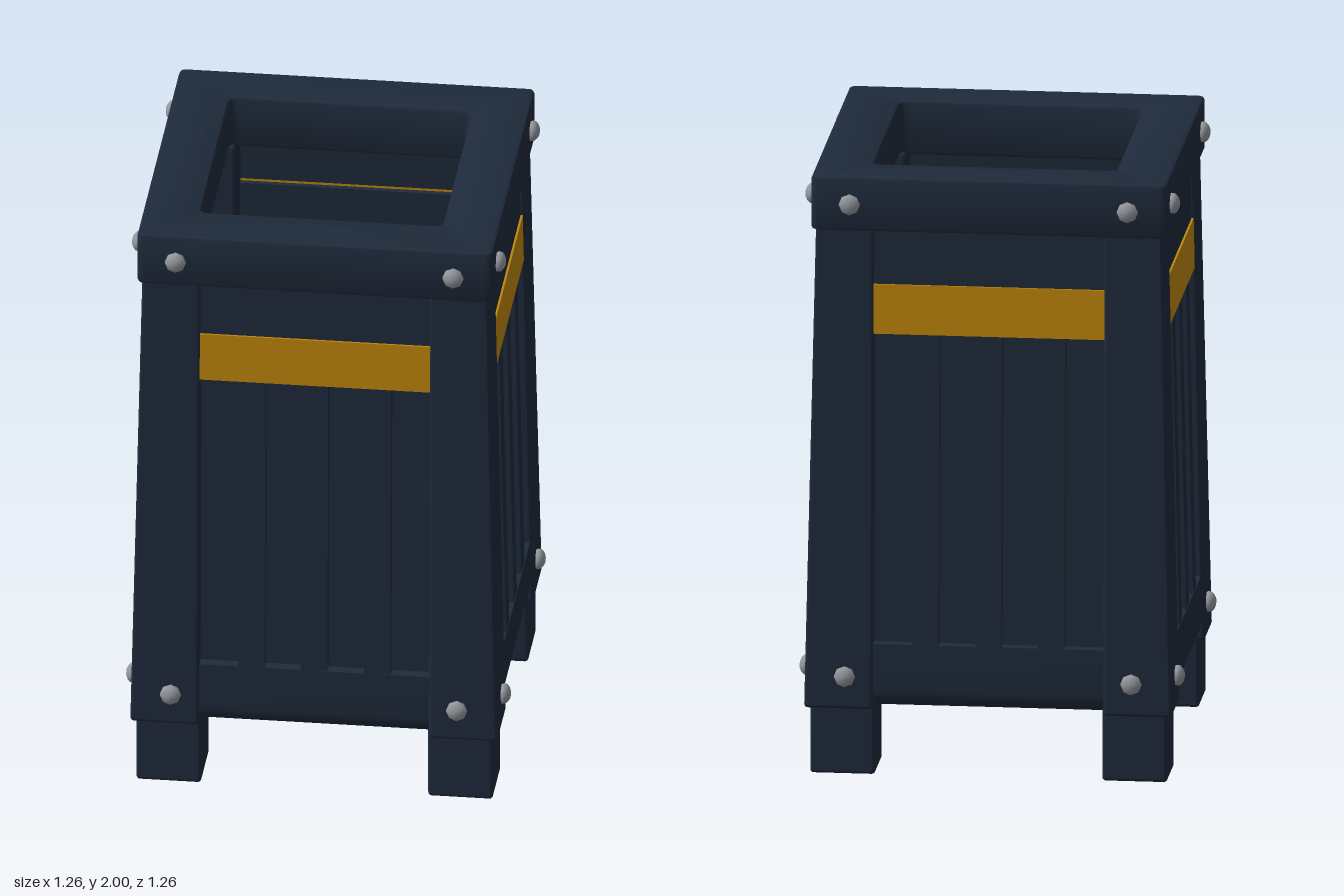
import * as THREE from 'three';
import { RoundedBoxGeometry } from 'three/addons/geometries/RoundedBoxGeometry.js';
import { toCreasedNormals } from 'three/addons/utils/BufferGeometryUtils.js';

const BOTTOM = 0.222, RIM = 1.82, INNER = 0.375;

// Half-width of the tapering body at height y
const halfAt = (y) => 0.6 - 0.035 * (y - BOTTOM) / (RIM - BOTTOM);

// Moves every vertex by a rule
function warp(geometry, rule) {
  const p = geometry.attributes.position;
  const v = new THREE.Vector3();
  for (let i = 0; i < p.count; i++) {
    rule(v.fromBufferAttribute(p, i));
    p.setXYZ(i, v.x, v.y, v.z);
  }
  return geometry;
}

// Board that follows the sloping wall, from depth d0 to d1 behind its face
function board(x0, x1, y0, y1, d0, d1) {
  const g = new THREE.BoxGeometry(x1 - x0, y1 - y0, d1 - d0);
  g.translate((x0 + x1) / 2, (y0 + y1) / 2, -(d0 + d1) / 2);
  warp(g, (v) => { v.z += halfAt(v.y); });
  g.computeVertexNormals();
  return g;
}

function roundedSquare(Type, h, r) {
  const s = new Type();
  s.moveTo(-h + r, -h);
  s.lineTo(h - r, -h);
  s.quadraticCurveTo(h, -h, h, -h + r);
  s.lineTo(h, h - r);
  s.quadraticCurveTo(h, h, h - r, h);
  s.lineTo(-h + r, h);
  s.quadraticCurveTo(-h, h, -h, h - r);
  s.lineTo(-h, -h + r);
  s.quadraticCurveTo(-h, -h, -h + r, -h);
  return s;
}

// Square top frame with a rounded opening
function rimGeometry() {
  const s = roundedSquare(THREE.Shape, 0.58, 0.025);
  s.holes.push(roundedSquare(THREE.Path, 0.395, 0.03));
  const b = 0.012;
  const g = new THREE.ExtrudeGeometry(s, {
    depth: 2 - RIM - 2 * b, bevelThickness: b, bevelSize: b, bevelOffset: -b,
    bevelSegments: 2, curveSegments: 4,
  });
  g.rotateX(-Math.PI / 2).translate(0, RIM + b, 0);
  return toCreasedNormals(g, 0.6);
}

// Thick bottom rail with a rounded lower edge
function railGeometry() {
  const s = new THREE.Shape();
  s.moveTo(INNER, 0.3);
  s.lineTo(INNER, BOTTOM + 0.008);
  s.lineTo(0.52, BOTTOM + 0.004);
  s.quadraticCurveTo(0.588, BOTTOM + 0.004, 0.588, 0.29);
  s.lineTo(halfAt(0.44) - 0.008, 0.44);
  s.lineTo(0.52, 0.44);
  s.lineTo(0.52, 0.3);
  const g = new THREE.ExtrudeGeometry(s, { depth: 0.76, bevelEnabled: false, curveSegments: 8 });
  g.rotateY(-Math.PI / 2).translate(0.38, 0, 0);
  return toCreasedNormals(g, 0.6);
}

// Corner post whose outer faces lean inwards
function postGeometry() {
  const w = 0.6 - INNER, h = RIM + 0.01 - BOTTOM;
  const g = new RoundedBoxGeometry(w, h, w, 2, 0.012);
  g.translate(INNER + w / 2, BOTTOM + h / 2, INNER + w / 2);
  return warp(g, (v) => {
    const lean = halfAt(v.y) - 0.6;
    v.x += lean * (v.x - INNER) / w;
    v.z += lean * (v.z - INNER) / w;
  });
}

// Domed bolt head facing +z
function boltGeometry() {
  const profile = [[0.03, -0.01], [0.035, 0.006], [0.033, 0.016], [0.024, 0.024], [0.012, 0.029], [0, 0.03]];
  return new THREE.LatheGeometry(profile.map(([x, y]) => new THREE.Vector2(x, y)), 8).rotateX(Math.PI / 2);
}

export function createModel() {
  const navy = new THREE.MeshStandardMaterial({ color: 0x1e2a3b });
  navy.name = 'navy paint';
  const amber = new THREE.MeshStandardMaterial({ color: 0xc0860c });
  amber.name = 'amber stripe';
  const steel = new THREE.MeshStandardMaterial({ color: 0x94989d });
  steel.name = 'steel';

  const root = new THREE.Group();
  root.name = 'wasteBin';
  const add = (parent, name, geometry, material) => {
    const m = new THREE.Mesh(geometry, material);
    m.name = name;
    parent.add(m);
    return m;
  };

  add(root, 'topRim', rimGeometry(), navy);
  add(root, 'floor', new THREE.BoxGeometry(0.8, 0.03, 0.8).translate(0, 0.27, 0), navy);

  // Shared geometries of one side
  const post = postGeometry();
  const leg = new RoundedBoxGeometry(0.212, 0.25, 0.212, 2, 0.012).translate(0.476, 0.125, 0.476);
  const rail = railGeometry();
  const upper = board(-0.38, 0.38, 1.63, RIM + 0.01, 0.012, 0.05);
  const stripe = board(-0.376, 0.376, 1.475, 1.64, 0.005, 0.05);
  const ledge = board(-0.376, 0.376, 1.6, 1.64, 0.05, 0.062);
  const panel = board(-0.38, 0.38, 0.29, 1.632, 0.045, 0.068);
  const ribs = [-0.205, 0, 0.205].map((x) => board(x - 0.043, x + 0.043, 0.43, 1.48, 0.01, 0.05));
  const bolt = boltGeometry();

  ['front', 'left', 'back', 'right'].forEach((name, i) => {
    const side = new THREE.Group();
    side.name = name + 'Side';
    side.rotation.y = i * Math.PI / 2;
    root.add(side);

    add(side, 'cornerPost', post, navy);
    add(side, 'leg', leg, navy);
    add(side, 'bottomRail', rail, navy);
    add(side, 'upperBoard', upper, navy);
    add(side, 'stripeBoard', stripe, amber);
    add(side, 'recessedPanel', panel, navy);
    ribs.forEach((g) => add(side, 'rib', g, navy));
    // Inner edge of the stripe, showing on two walls only
    if (name === 'front' || name === 'left') add(side, 'stripeLedge', ledge, amber);
    for (const s of [-1, 1]) {
      add(side, 'rimBolt', bolt, steel).position.set(s * 0.453, 1.91, 0.58);
      add(side, 'postBolt', bolt, steel).position.set(s * 0.467, 0.332, halfAt(0.332));
    }
  });
  return root;
}
